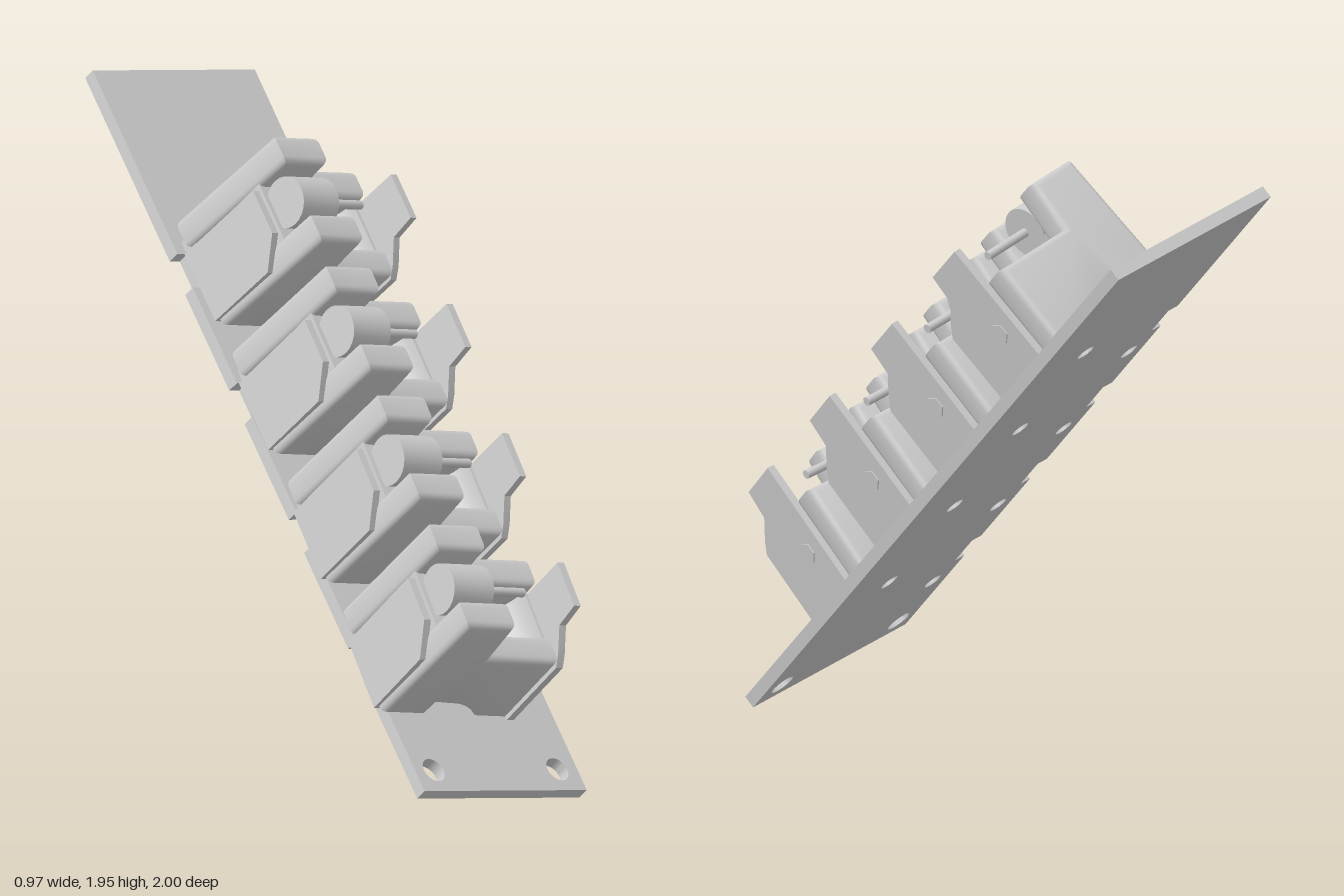
import * as THREE from 'three';
import { toCreasedNormals } from 'three/addons/utils/BufferGeometryUtils.js';

const grey = new THREE.MeshStandardMaterial({ color: 0xcccccc });
const rad = THREE.MathUtils.degToRad;

function add(parent, name, geometry, x = 0, y = 0, z = 0) {
  const mesh = new THREE.Mesh(geometry, grey);
  mesh.name = name;
  mesh.position.set(x, y, z);
  parent.add(mesh);
  return mesh;
}

function hole(shape, x, y, r) {
  shape.holes.push(new THREE.Path().absarc(x, y, r, 0, Math.PI * 2, true));
}

// Centred extrusion with optional rounded edges
function extrude(shape, depth, bevel = 0) {
  const g = new THREE.ExtrudeGeometry(shape, {
    depth: depth - 2 * bevel, curveSegments: 12, bevelEnabled: bevel > 0,
    bevelSize: bevel, bevelThickness: bevel, bevelOffset: -bevel, bevelSegments: 3,
  });
  g.translate(0, 0, -depth / 2 + bevel);
  return toCreasedNormals(g, 0.6);
}

// Profile drawn across the board (x, height), extruded along its length
const across = (shape, depth, bevel) => extrude(shape, depth, bevel).rotateX(Math.PI / 2);
// Profile drawn along the board (y, height), extruded across its width
const along = (shape, depth) => extrude(shape, depth).rotateX(Math.PI / 2).rotateZ(Math.PI / 2);

function polygon(points) {
  return new THREE.Shape(points.map(([x, y]) => new THREE.Vector2(x, y)));
}

const PITCH = 0.464, FIRST = -0.847, HALF_W = 0.331, HALF_L = 1.295;
const rowY = (i) => FIRST + i * PITCH;

// Long board with side notches and screw holes
function boardShape() {
  const pts = [[-HALF_W, -HALF_L], [HALF_W, -HALF_L], [HALF_W, HALF_L], [-HALF_W, HALF_L]];
  for (let i = 3; i >= 0; i--) {
    const lo = rowY(i) - 0.03, hi = rowY(i) + 0.09, inner = -HALF_W + 0.04;
    pts.push([-HALF_W, hi], [inner, hi], [inner, lo], [-HALF_W, lo]);
  }
  const shape = polygon(pts);
  for (let i = 0; i < 4; i++) {
    hole(shape, 0.092, rowY(i) + 0.128, 0.03);
    hole(shape, -0.255, rowY(i) - 0.131, 0.03);
  }
  hole(shape, 0.25, -1.22, 0.04);
  hole(shape, -0.255, -1.22, 0.04);
  return shape;
}

// L-shaped cheek with an arch under it
function cheekShape(right) {
  const s = new THREE.Shape();
  s.moveTo(-0.25, 0.03);
  s.lineTo(-0.09, 0.03);
  s.lineTo(-0.085, 0.09);
  s.quadraticCurveTo(0.03, 0.1, 0.1, 0.03);
  s.lineTo(right, 0.03);
  s.lineTo(right, 0.33);
  s.lineTo(-0.04, 0.33);
  s.lineTo(-0.055, 0.5);
  s.lineTo(-0.235, 0.5);
  s.closePath();
  return s;
}

// Round saddle between the cheeks
function saddleShape() {
  const s = new THREE.Shape();
  s.moveTo(-0.08, 0.03);
  s.lineTo(0.23, 0.03);
  s.lineTo(0.23, 0.3);
  s.absarc(0.085, 0.3, 0.135, 0, Math.PI, true);
  s.lineTo(-0.08, 0.3);
  s.closePath();
  return s;
}

function makeUnit() {
  const unit = new THREE.Group();
  unit.name = 'rollerUnit';
  add(unit, 'lowerCheek', across(cheekShape(0.22), 0.1, 0.022), 0, -0.14, 0);
  add(unit, 'upperCheek', across(cheekShape(0.25), 0.1, 0.022), 0, 0.14, 0);
  add(unit, 'saddle', across(saddleShape(), 0.2));
  add(unit, 'core', new THREE.BoxGeometry(0.17, 0.2, 0.34), -0.15, 0, 0.2);
  add(unit, 'foot', new THREE.BoxGeometry(0.48, 0.26, 0.05), 0, 0, 0.035);

  // Roller and its axle
  add(unit, 'roller', toCreasedNormals(new THREE.CylinderGeometry(0.078, 0.078, 0.15, 24)
    .rotateZ(Math.PI / 2), 0.6), -0.145, 0, 0.42);
  add(unit, 'axle', new THREE.CylinderGeometry(0.014, 0.014, 0.3, 12)
    .rotateZ(Math.PI / 2), -0.05, 0, 0.42);

  // Side brackets and bolt
  const bracket = polygon([[-0.185, 0.02], [0.08, 0.02], [0.08, 0.47], [-0.075, 0.47],
    [-0.085, 0.38], [-0.155, 0.33], [-0.185, 0.3]]);
  add(unit, 'rightBracket', along(bracket, 0.025), 0.243, 0, 0);
  const low = polygon([[-0.16, 0.02], [0.08, 0.02], [0.08, 0.36], [-0.07, 0.36], [-0.16, 0.28]]);
  add(unit, 'leftBracket', along(low, 0.025), -0.25, 0, 0);
  const bolt = add(unit, 'bolt', new THREE.CylinderGeometry(0.034, 0.034, 0.02, 6)
    .rotateZ(Math.PI / 2), 0.25, 0, 0.2);
  bolt.geometry = toCreasedNormals(bolt.geometry, 0.3);
  return unit;
}

export function createModel() {
  const root = new THREE.Group();
  root.name = 'rollerBoard';
  const board = new THREE.Group();
  board.name = 'tiltedBoard';
  board.rotation.set(rad(-45), 0, rad(-10), 'ZXY');
  board.position.set(-0.003, 0.975, -0.07);
  root.add(board);
  add(board, 'basePlate', extrude(boardShape(), 0.04));

  // Four units, each turned a little further than the last
  for (let i = 0; i < 4; i++) {
    const unit = makeUnit();
    unit.position.set(-0.09 + i * 0.011, rowY(i), 0);
    unit.rotation.set(0, rad(-3 + 2 * i), rad(-4.5 + 1.5 * i));
    board.add(unit);
  }
  return root;
}
